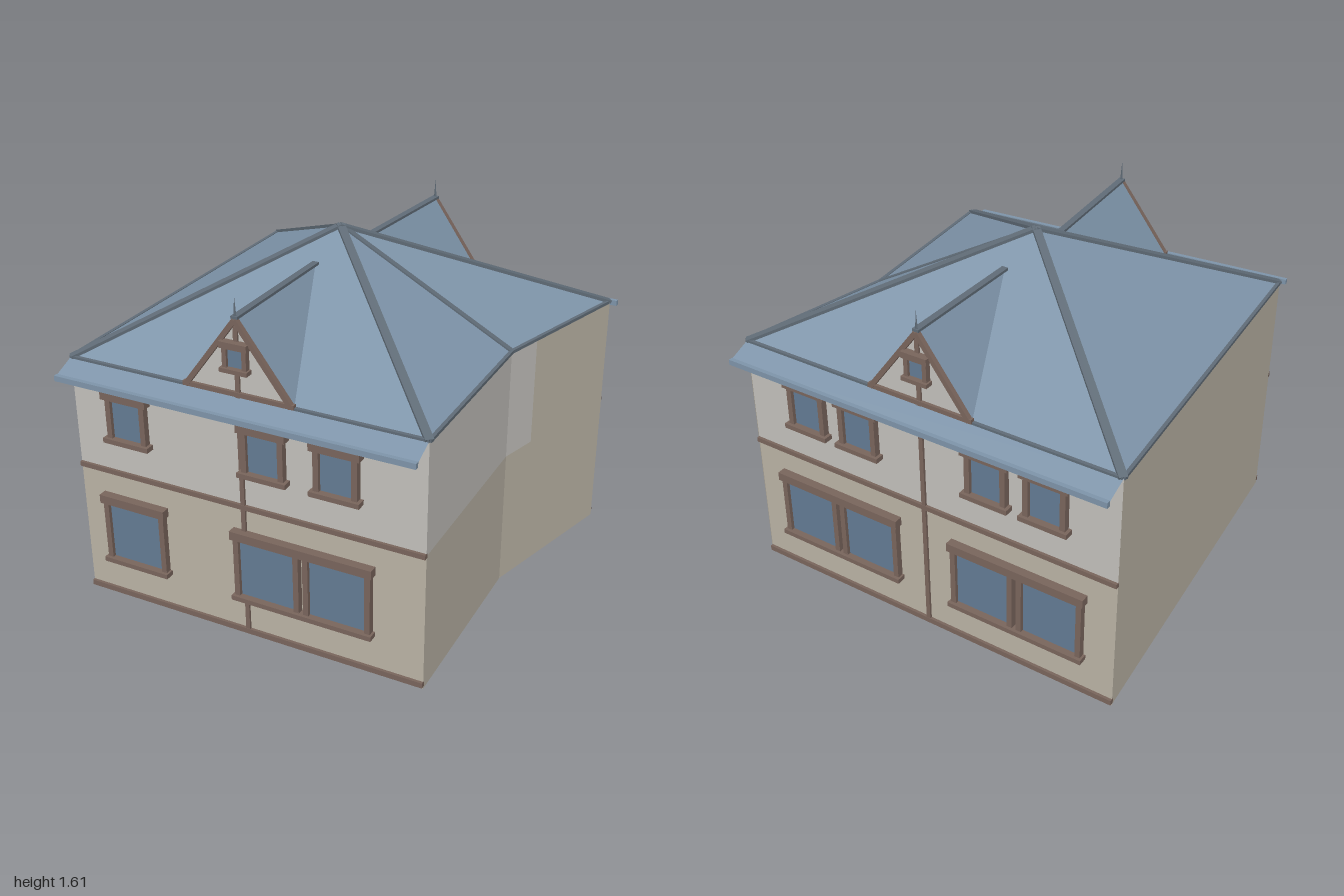
import * as THREE from 'three';

const mat = (color) => new THREE.MeshStandardMaterial({ color, flatShading: true, side: THREE.DoubleSide });
const ROOF = mat(0x7d93a8), RIDGE = mat(0x5f6b76), LOWER = mat(0xb8b1a3), UPPER = mat(0xc0beb9);
const TRIM = mat(0x78645b), GLASS = mat(0x627a92);
const EAVE = 1.155, FLOOR = 0.645;

function add(parent, name, geometry, material) {
  const mesh = new THREE.Mesh(geometry, material);
  mesh.name = name;
  parent.add(mesh);
  return mesh;
}

// Flat panel from three or more corners, fanned from the first
function panel(parent, name, material, ...pts) {
  const tris = [];
  for (let i = 1; i < pts.length - 1; i++) tris.push(...pts[0], ...pts[i], ...pts[i + 1]);
  const g = new THREE.BufferGeometry();
  g.setAttribute('position', new THREE.Float32BufferAttribute(tris, 3));
  g.computeVertexNormals();
  return add(parent, name, g, material);
}

// Box given by its centre and size
function box(parent, name, material, [x, y, z], size) {
  const m = add(parent, name, new THREE.BoxGeometry(...size), material);
  m.position.set(x, y, z);
  return m;
}

// Rectangular bar between two points
function bar(parent, name, material, a, b, w, h) {
  const p = new THREE.Vector3(...a), q = new THREE.Vector3(...b);
  const m = new THREE.Mesh(new THREE.BoxGeometry(w, h, p.distanceTo(q)), material);
  m.name = name;
  m.position.copy(p).add(q).multiplyScalar(0.5);
  m.lookAt(q);
  parent.add(m);
}

// Window: glass, two jambs, lintel and sill; y0 and y1 are the outer bottom and top
function windowUnit(parent, name, x, y0, y1, glassW, jamb, lintelH, over, depth = 0.04) {
  const g = new THREE.Group();
  g.name = name;
  g.position.x = x;
  parent.add(g);
  const sillH = Math.min(0.022, lintelH * 0.65);
  const h = y1 - y0 - lintelH - sillH, cy = y0 + sillH + h / 2;
  const full = glassW + 2 * (jamb + over);
  box(g, 'glass', GLASS, [0, cy, 0.008], [glassW, h, 0.01]);
  for (const s of [-1, 1])
    box(g, 'jamb', TRIM, [s * (glassW + jamb) / 2, cy, depth * 0.375], [jamb, h, depth * 0.75]);
  box(g, 'lintel', TRIM, [0, y1 - lintelH / 2, depth * 0.4], [full, lintelH, depth * 1.2]);
  box(g, 'sill', TRIM, [0, y0 + sillH / 2, depth * 0.45], [full, sillH, depth * 1.3]);
}

// Street face in its own frame: x along the wall, z outwards
function facade(name, width, upperXs, lowerXs, ridgeDepth) {
  const g = new THREE.Group();
  g.name = name;
  const w = width / 2;
  panel(g, 'lowerWall', LOWER, [-w, 0, 0], [w, 0, 0], [w, FLOOR, 0], [-w, FLOOR, 0]);
  panel(g, 'upperWall', UPPER, [-w, FLOOR, 0], [w, FLOOR, 0], [w, EAVE, 0], [-w, EAVE, 0]);
  box(g, 'baseBand', TRIM, [0, 0.022, 0.003], [width, 0.025, 0.02]);
  box(g, 'middleBand', TRIM, [0, FLOOR, 0.003], [width, 0.022, 0.02]);
  box(g, 'centrePost', TRIM, [0, EAVE / 2 + 0.01, 0.002], [0.02, EAVE - 0.02, 0.018]);
  for (const x of upperXs) windowUnit(g, 'upperWindow', x, 0.805, 1.045, 0.145, 0.025, 0.036, 0.015);
  for (const x of lowerXs) windowUnit(g, 'lowerWindow', x, 0.19, 0.53, 0.26, 0.025, 0.04, 0.01);

  // Sloping canopy over the wall with its gutter
  panel(g, 'canopy', ROOF, [-w, 1.105, 0.12], [w, 1.105, 0.12], [w, EAVE, 0], [-w, EAVE, 0]);
  box(g, 'gutter', ROOF, [0, 1.105, 0.11], [width, 0.025, 0.02]);

  // Gabled dormer
  const d = new THREE.Group();
  d.name = 'dormer';
  g.add(d);
  const hw = 0.255, top = 1.5;
  panel(d, 'gable', UPPER, [-hw, EAVE, 0], [hw, EAVE, 0], [0, top, 0]);
  for (const s of [-1, 1]) {
    panel(d, 'dormerRoof', ROOF, [s * hw, EAVE, 0.01], [0, top, 0.01], [0, top, -ridgeDepth]);
    bar(d, 'gableBoard', TRIM, [s * (hw - 0.012), EAVE + 0.005, 0.005], [0, top - 0.015, 0.005], 0.022, 0.022);
  }
  bar(d, 'dormerRidge', RIDGE, [0, top - 0.005, 0.012], [0, top - 0.005, -ridgeDepth], 0.03, 0.012);
  box(d, 'gableBase', TRIM, [0, EAVE + 0.01, 0.004], [2 * hw, 0.02, 0.02]);
  box(d, 'gablePost', TRIM, [0, 1.31, 0.002], [0.02, 0.29, 0.014]);
  windowUnit(d, 'dormerWindow', 0, 1.265, 1.395, 0.07, 0.02, 0.028, 0.008, 0.035);
  const spike = add(d, 'finial', new THREE.ConeGeometry(0.007, 0.09, 4), RIDGE);
  spike.position.set(0, 1.54, 0.002);
  return g;
}

export function createModel() {
  const house = new THREE.Group();
  house.name = 'house';
  const plan = [[-0.92, 0.88], [0.73, 0.88], [0.72, 0], [0.925, -0.73], [-0.92, -0.88]];
  const at = (i, y) => [plan[i % 5][0], y, plan[i % 5][1]];

  // Decorated faces
  const front = facade('frontFace', 1.65, [-0.55, 0.11, 0.44], [-0.55, 0.11, 0.44], 0.65);
  front.position.set(-0.095, 0, 0.88);
  const back = facade('backFace', 1.85, [-0.6, -0.323, 0.323, 0.6], [-0.627, -0.297, 0.297, 0.627], 0.617);
  back.position.set(0, 0, -0.805);
  back.rotation.y = Math.PI - 0.0813;
  house.add(front, back);

  // Plain side walls, the right one bending outwards
  panel(house, 'leftWall', LOWER, at(4, 0), at(0, 0), at(0, EAVE), at(4, EAVE));
  panel(house, 'rightLowerWall', LOWER, at(1, 0), at(2, 0), at(2, FLOOR), at(1, FLOOR));
  panel(house, 'rightUpperWall', UPPER, at(1, FLOOR), at(2, FLOOR), at(2, EAVE), at(1, EAVE));
  const split = (y) => [0.77, y, -0.178];
  panel(house, 'rightRearLowerWall', LOWER, at(2, 0), at(3, 0), at(3, FLOOR), at(2, FLOOR));
  panel(house, 'rightRearUpperPatch', UPPER, at(2, FLOOR), split(FLOOR), split(EAVE), at(2, EAVE));
  panel(house, 'rightRearUpperWall', LOWER, split(FLOOR), at(3, FLOOR), at(3, EAVE), split(EAVE));

  // Pyramid roof with hip caps and eave strips
  const apex = [-0.085, 1.6, 0.02];
  for (let i = 0; i < 5; i++) {
    panel(house, 'roofSlope', ROOF, at(i, EAVE), at(i + 1, EAVE), apex);
    bar(house, 'hipCap', RIDGE, at(i, EAVE), apex, i === 2 ? 0.028 : 0.036, 0.014);
    bar(house, 'eaveStrip', RIDGE, at(i, EAVE), at(i + 1, EAVE), 0.016, 0.014);
  }
  return house;
}
